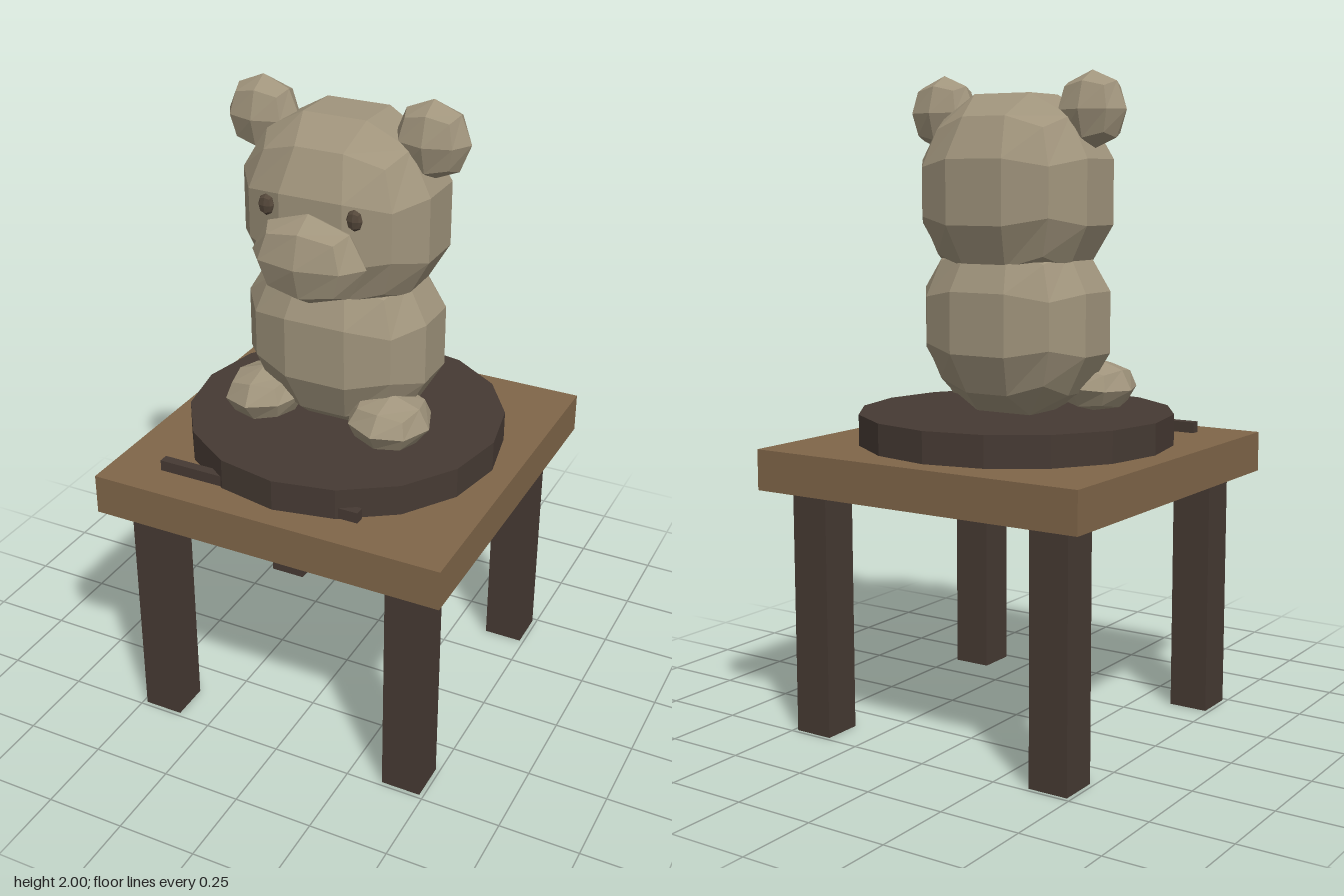
import * as THREE from 'three';

const paint = (color) => new THREE.MeshStandardMaterial({ color, flatShading: true });

export function createModel() {
  const group = new THREE.Group();
  const fur = paint(0xa0947c), wood = paint(0x806649), dark = paint(0x463a33), eyeMat = paint(0x54473a);

  function add(name, geometry, material, x, y, z) {
    const mesh = new THREE.Mesh(geometry, material);
    mesh.name = name;
    mesh.position.set(x, y, z);
    group.add(mesh);
    return mesh;
  }

  // Low-poly ball: a segmented box inflated to a sphere, then fitted to half sizes
  function ball(segments, hx, hy, hz) {
    const geometry = new THREE.BoxGeometry(2, 2, 2, segments, segments, segments);
    const p = geometry.attributes.position;
    const v = new THREE.Vector3();
    for (let i = 0; i < p.count; i++) {
      v.fromBufferAttribute(p, i).normalize();
      p.setXYZ(i, v.x, v.y, v.z);
    }
    geometry.computeBoundingBox();
    const reach = geometry.boundingBox.max.x;
    geometry.scale(hx / reach, hy / reach, hz / reach);
    geometry.computeVertexNormals();
    return geometry;
  }

  // Table
  add('tableTop', new THREE.BoxGeometry(1.12, 0.125, 1.12), wood, 0, 0.822, 0);
  for (const x of [-0.424, 0.424]) {
    for (const z of [-0.424, 0.424]) {
      add('tableLeg', new THREE.BoxGeometry(0.125, 0.76, 0.125), dark, x, 0.38, z);
    }
  }

  // Round plinth and the stick lying at its front edge
  add('plinth', new THREE.CylinderGeometry(0.487, 0.487, 0.096, 16), dark, 0, 0.932, 0);
  add('stick', new THREE.BoxGeometry(0.655, 0.034, 0.03), dark, -0.073, 0.903, 0.43);

  // Bear
  add('body', ball(3, 0.29, 0.28, 0.215), fur, 0, 1.26, 0);
  add('head', ball(3, 0.295, 0.29, 0.23), fur, 0, 1.647, 0);
  add('muzzle', ball(2, 0.18, 0.135, 0.095), fur, 0, 1.57, 0.24);
  for (const side of [-1, 1]) {
    add('ear', ball(2, 0.115, 0.115, 0.084), fur, side * 0.265, 1.885, 0);
    add('eye', ball(2, 0.025, 0.032, 0.016), eyeMat, side * 0.137, 1.706, 0.23);
    const foot = add('foot', ball(2, 0.127, 0.081, 0.139), fur, side * 0.206, 1.06, 0.13);
    foot.rotation.z = side * -0.08;
  }
  return group;
}
